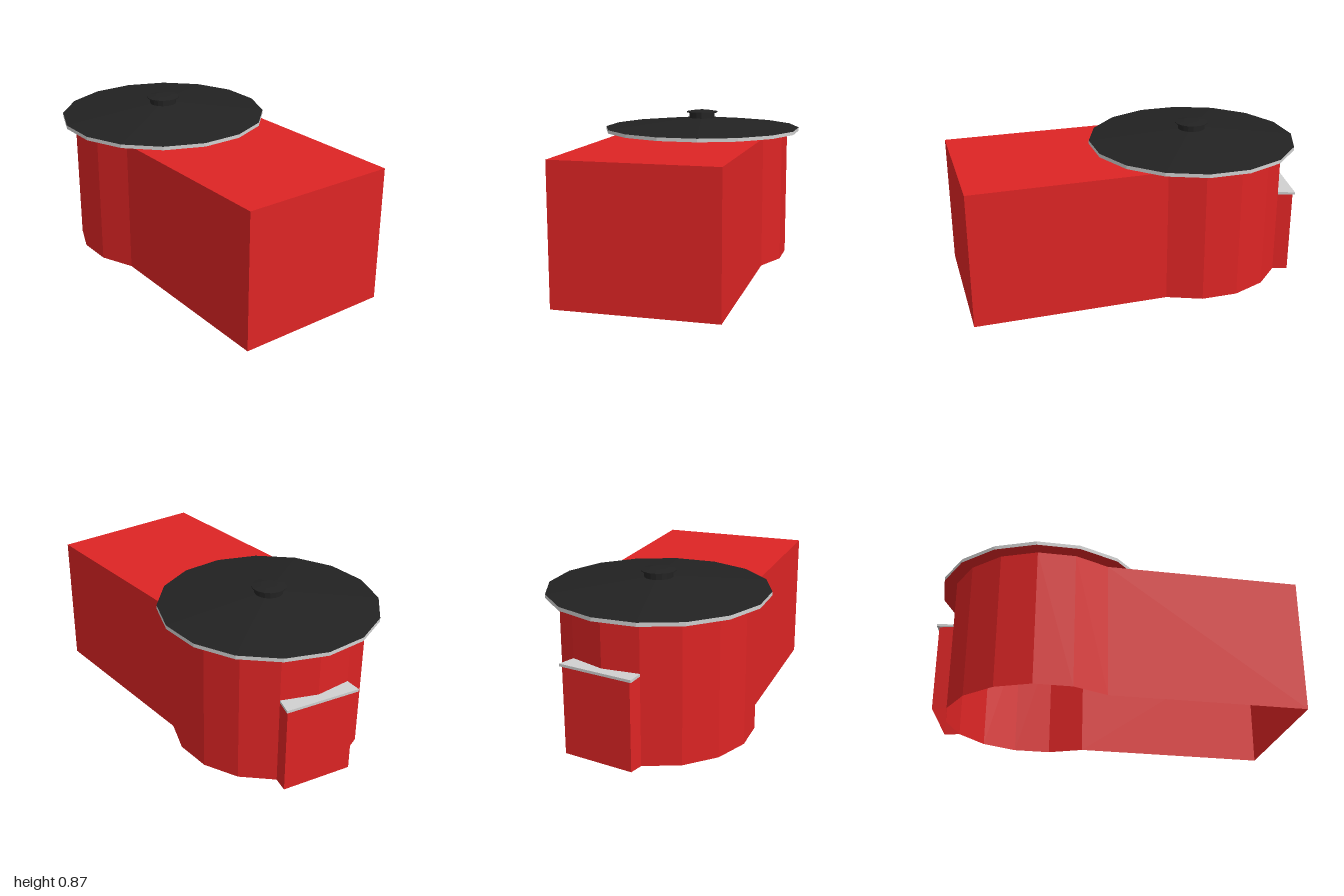
import * as THREE from 'three';

const CX = -0.4, CZ = -0.027, R = 0.515, SIDES = 16, TURN = THREE.MathUtils.degToRad(2.2);
const WALL_TOP = 0.743;

// Corner k of the sixteen-sided tower, as [x, z]
const corner = (k) => {
  const a = TURN + (k * 2 * Math.PI) / SIDES;
  return [CX + R * Math.sin(a), CZ + R * Math.cos(a)];
};

// Facets with hard edges
function faceted(geometry) {
  const g = geometry.index ? geometry.toNonIndexed() : geometry;
  g.computeVertexNormals();
  return g;
}

// Open upright wall along a plan path
function wall(path, y0, y1, closed) {
  const p = [];
  const n = closed ? path.length : path.length - 1;
  for (let i = 0; i < n; i++) {
    const [ax, az] = path[i], [bx, bz] = path[(i + 1) % path.length];
    p.push(ax, y0, az, bx, y1, bz, bx, y0, bz, ax, y0, az, ax, y1, az, bx, y1, bz);
  }
  const g = new THREE.BufferGeometry();
  g.setAttribute('position', new THREE.Float32BufferAttribute(p, 3));
  return faceted(g);
}

const planShape = (path) => new THREE.Shape(path.map(([x, z]) => new THREE.Vector2(x, -z)));

export function createModel() {
  const red = new THREE.MeshStandardMaterial({ color: 0xdd2424, side: THREE.DoubleSide });
  const black = new THREE.MeshStandardMaterial({ color: 0x222222 });
  const grey = new THREE.MeshStandardMaterial({ color: 0xd0d0d0 });
  red.name = 'red wall';
  black.name = 'black roof';
  grey.name = 'light grey trim';

  const model = new THREE.Group();
  const add = (name, geometry, material, x = 0, y = 0, z = 0) => {
    const mesh = new THREE.Mesh(geometry, material);
    mesh.name = name;
    mesh.position.set(x, y, z);
    model.add(mesh);
    return mesh;
  };

  // Body: a round tower merged with a long block, open underneath
  const plan = [[1, -0.242], [0.86, 0.61]];
  for (let k = 1; k >= -10; k--) plan.push(corner(k));
  add('bodyWalls', wall(plan, 0, WALL_TOP, true), red);
  add('flatRoof', new THREE.ShapeGeometry(planShape(plan)).rotateX(-Math.PI / 2), red, 0, WALL_TOP, 0);

  // Porch against the tower, with its thin cover
  add('porchWalls', wall([corner(-4), [-0.985, -0.04], [-0.855, -0.412], corner(-6)], 0, 0.473, false), red);
  const cover = planShape([[-1, -0.03], [-0.862, -0.425], corner(-6), corner(-5), corner(-4)]);
  add('porchCover', new THREE.ExtrudeGeometry(cover, { depth: 0.014, bevelEnabled: false })
    .rotateX(-Math.PI / 2), grey, 0, 0.473, 0);

  // Round roof: soffit, rim, low cone and vent
  const drum = (name, rTop, rBottom, y0, y1, material, open) =>
    add(name, faceted(new THREE.CylinderGeometry(rTop, rBottom, y1 - y0, SIDES, 1, open, TURN, Math.PI * 2)),
      material, CX, (y0 + y1) / 2, CZ);
  add('soffit', new THREE.CircleGeometry(0.585, SIDES, TURN - Math.PI / 2, Math.PI * 2)
    .rotateX(Math.PI / 2).rotateY(2 * TURN), red, CX, 0.746, CZ);
  drum('roofRim', 0.585, 0.585, 0.746, 0.766, grey, true);
  drum('roofCone', 0.076, 0.585, 0.766, 0.822, black, true);
  drum('ventNeck', 0.076, 0.076, 0.82, 0.857, black, true);
  drum('ventLid', 0.093, 0.093, 0.855, 0.86, black, false);
  drum('ventTop', 0.045, 0.093, 0.86, 0.868, black, false);

  return model;
}
